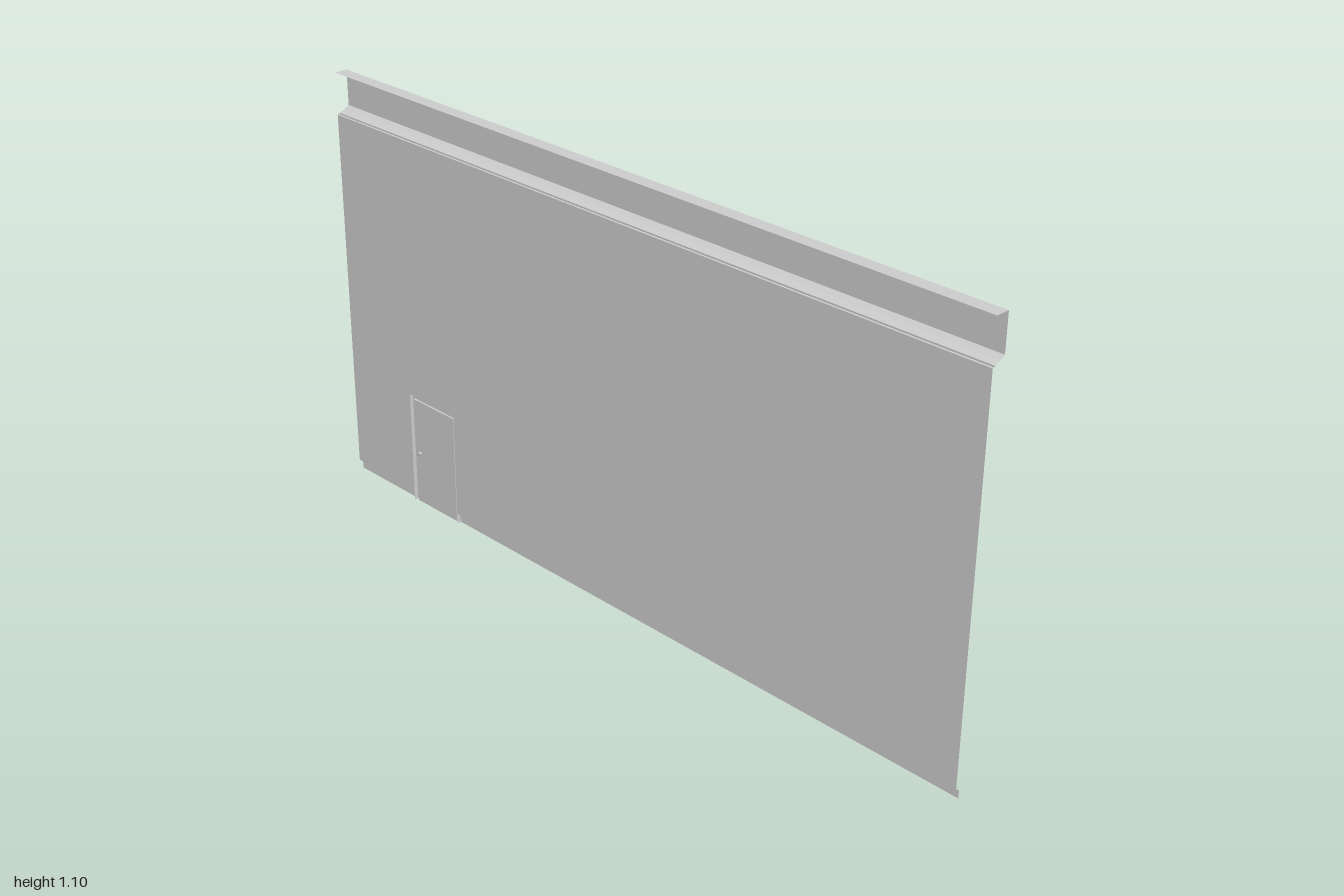
import * as THREE from 'three';

const mat = new THREE.MeshStandardMaterial({ color: 0xcccccc, side: THREE.DoubleSide });
const WALL_Z = 0.0175, OUT_Z = -0.0175; // wall sheet and outermost cornice face
const DOOR = { x0: -0.768, x1: -0.596, top: 0.306, trim: 0.009, face: 0.007, panel: 0.012 };

function add(parent, name, geometry, x = 0, y = 0, z = 0) {
  const mesh = new THREE.Mesh(geometry, mat);
  mesh.name = name;
  mesh.position.set(x, y, z);
  parent.add(mesh);
  return mesh;
}

// Open sheet: a polyline of [x, y, z] points swept along one vector
function sweep(points, [dx, dy, dz]) {
  const pos = [];
  for (let i = 0; i < points.length - 1; i++) {
    const a = points[i], b = points[i + 1];
    const c = [b[0] + dx, b[1] + dy, b[2] + dz], d = [a[0] + dx, a[1] + dy, a[2] + dz];
    pos.push(...a, ...b, ...c, ...a, ...c, ...d);
  }
  const g = new THREE.BufferGeometry();
  g.setAttribute('position', new THREE.Float32BufferAttribute(pos, 3));
  g.computeVertexNormals();
  return g;
}

// Sheet with a [z, y] profile running from x0 to x1
const strip = (profile, x0, x1) =>
  sweep(profile.map(([z, y]) => [x0, y, z]), [x1 - x0, 0, 0]);

// Box given by its limits
function box(parent, name, x0, x1, y0, y1, z0, z1) {
  return add(parent, name, new THREE.BoxGeometry(x1 - x0, y1 - y0, z1 - z0),
    (x0 + x1) / 2, (y0 + y1) / 2, (z0 + z1) / 2);
}

function polygon(points) {
  return new THREE.Shape(points.map(([x, y]) => new THREE.Vector2(x, y)));
}

function makeDoor() {
  const door = new THREE.Group();
  door.name = 'door';
  const { x0, x1, top, trim, face, panel } = DOOR;
  const outer = [[x0, 0], [x0, top], [x1, top], [x1, 0]];
  const inner = [[x0 + trim, 0], [x0 + trim, top - 0.013], [x1 - trim, top - 0.013], [x1 - trim, 0]];
  const at = (pts, z) => pts.map(([x, y]) => [x, y, z]);
  // Open-backed casing: face, outer edge and inner reveal
  add(door, 'doorCasingFace', new THREE.ShapeGeometry(polygon([...outer, ...inner.slice().reverse()])), 0, 0, face);
  add(door, 'doorCasingEdge', sweep(at(outer, WALL_Z), [0, 0, face - WALL_Z]));
  add(door, 'doorReveal', sweep(at(inner, panel), [0, 0, face - panel]));
  add(door, 'doorPanel', new THREE.ShapeGeometry(polygon(inner)), 0, 0, panel);
  // Knobs on both sides
  for (const side of [-1, 1]) {
    const stem = add(door, 'knobStem', new THREE.CylinderGeometry(0.003, 0.003, 0.004, 12), -0.74, 0.145, panel + side * 0.002);
    stem.rotation.x = Math.PI / 2;
    const knob = add(door, 'knob', new THREE.SphereGeometry(0.0055, 12, 8), -0.74, 0.145, panel + side * 0.005);
    knob.scale.z = 0.5;
  }
  return door;
}

function makeWindow(x) {
  const win = new THREE.Group();
  win.name = 'window';
  const back = WALL_Z - 0.0005, half = 0.064, bottom = 0.653, top = 0.878;
  // Hood with a chamfered underside, extruded across the width
  const hood = new THREE.ExtrudeGeometry(
    polygon([[-back, 0.846], [-0.001, 0.846], [0.003, 0.855], [0.003, top], [-back, top]]),
    { depth: 2 * half, bevelEnabled: false });
  hood.rotateY(Math.PI / 2); // profile x becomes -z
  add(win, 'windowHood', hood, -half);
  box(win, 'windowSill', -half, half, bottom, 0.671, 0.001, back);
  for (const s of [-1, 1]) {
    const xs = [s * half, s * 0.047].sort((a, b) => a - b);
    box(win, 'windowJamb', ...xs, 0.671, 0.846, 0.002, back);
    const ss = [s * 0.047, s * 0.042].sort((a, b) => a - b);
    box(win, 'sashSide', ...ss, 0.671, 0.846, 0.008, back);
  }
  box(win, 'sashBottom', -0.042, 0.042, 0.671, 0.677, 0.008, back);
  box(win, 'sashTop', -0.042, 0.042, 0.84, 0.846, 0.008, back);
  box(win, 'windowPane', -0.042, 0.042, 0.677, 0.84, 0.012, back);
  win.position.x = x;
  return win;
}

export function createModel() {
  const model = new THREE.Group();
  model.name = 'wallSection';

  // Wall sheet, notched for the door
  const wallTop = 0.992, wallBottom = 0.028;
  add(model, 'wall', new THREE.ShapeGeometry(polygon([
    [-1, wallBottom], [DOOR.x0, wallBottom], [DOOR.x0, DOOR.top], [DOOR.x1, DOOR.top],
    [DOOR.x1, wallBottom], [1, wallBottom], [1, wallTop], [-1, wallTop],
  ])), 0, 0, WALL_Z);

  // Skirting on either side of the door
  const skirting = [[WALL_Z, wallBottom], [DOOR.face, 0.022], [DOOR.face, 0]];
  add(model, 'skirtingRight', strip(skirting, -1, DOOR.x0));
  add(model, 'skirtingLeft', strip(skirting, DOOR.x1, 1));

  // Cornice with stepped, sloping underside and a flat cap
  add(model, 'cornice', strip([
    [WALL_Z, wallTop], [0.012, wallTop], [0.012, 0.996], [-0.005, 1.001],
    [OUT_Z, 1.009], [OUT_Z, 1.1], [WALL_Z, 1.1],
  ], -1, 1));

  model.add(makeDoor());
  for (let i = -3; i <= 3; i++) model.add(makeWindow(i * 0.2146));
  return model;
}
